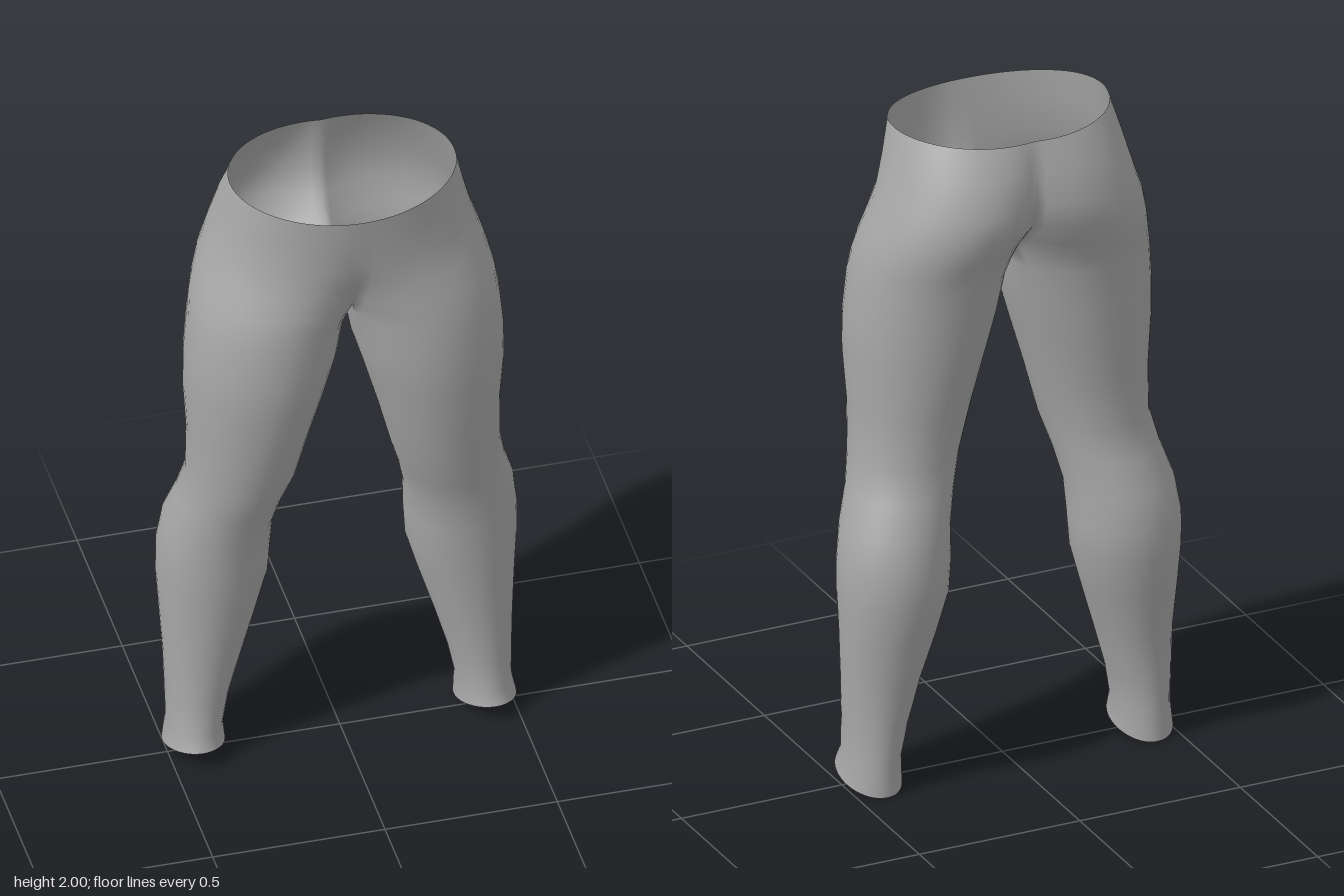
import * as THREE from 'three';
import { mergeVertices } from 'three/addons/utils/BufferGeometryUtils.js';

const CROTCH = 1.6;
const OUTER = 36, INNER = 12; // segments round the outside and along the inseam

// Cross-sections of one side, waist to hem:
// [y, outer x, inner x, x of front peak, x of back peak, front z, back z]
const ROWS = [
  [2.0, 0.325, 0, 0.0, 0.05, 0.268, -0.212],
  [1.9, 0.35, 0, 0.02, 0.1, 0.258, -0.245],
  [1.8, 0.377, 0, 0.06, 0.13, 0.247, -0.265],
  [1.72, 0.405, 0, 0.13, 0.16, 0.245, -0.26],
  [1.65, 0.425, 0, 0.18, 0.195, 0.25, -0.235],
  [CROTCH, 0.437, 0, 0.2, 0.21, 0.254, -0.215],
  [1.54, 0.447, 0.003, 0.22, 0.22, 0.258, -0.2],
  [1.42, 0.458, 0.025, 0.235, 0.235, 0.259, -0.186],
  [1.3, 0.46, 0.06, 0.25, 0.25, 0.248, -0.172],
  [1.15, 0.45, 0.102, 0.27, 0.275, 0.22, -0.152],
  [1.0, 0.452, 0.14, 0.295, 0.295, 0.194, -0.136],
  [0.9, 0.473, 0.17, 0.32, 0.32, 0.16, -0.16],
  [0.8, 0.505, 0.193, 0.345, 0.35, 0.136, -0.19],
  [0.7, 0.519, 0.197, 0.36, 0.36, 0.124, -0.205],
  [0.6, 0.52, 0.203, 0.37, 0.365, 0.115, -0.2],
  [0.48, 0.513, 0.237, 0.38, 0.375, 0.102, -0.177],
  [0.34, 0.505, 0.28, 0.395, 0.39, 0.092, -0.146],
  [0.2, 0.5, 0.32, 0.41, 0.41, 0.086, -0.134],
  [0.1, 0.497, 0.34, 0.42, 0.42, 0.094, -0.13],
  [0.032, 0.51, 0.335, 0.425, 0.42, 0.11, -0.131],
];

// Points of one section: front centre, round the outside to the back, then along the inseam
function section([y, xo, xi, cf, cb, zf, zb]) {
  const cz = (zf + zb) / 2, rz = (zf - zb) / 2;
  const inner = (c) => (y >= CROTCH ? 2 * c - xo : xi);
  const start = (c) => (y >= CROTCH ? Math.acos(Math.min(1, c / (c - inner(c)))) : 0.4);
  const a0 = start(cf), a1 = 2 * Math.PI - start(cb), a2 = 2 * Math.PI + a0;
  const points = [];
  for (let j = 0; j <= OUTER + INNER; j++) {
    const a = j <= OUTER ? a0 + (a1 - a0) * j / OUTER : a1 + (a2 - a1) * (j - OUTER) / INNER;
    const s = Math.sin(a), k = Math.cos(a);
    const c = s > 0 ? cf : cb;
    let x = c - k * (k > 0 ? c - inner(c) : xo - c);
    if (x < 0.001) x = 0;
    const z = cz + rz * s;
    let py = y;
    if (y === 2) py -= (s > 0 ? 0.022 : 0.012) * s * s; // waistline dips at front and back
    if (y < 0.05) py = Math.max(0, y + 0.25 * z);       // hem rises over the foot
    points.push([x, py, z]);
  }
  return points;
}

function leggingsGeometry() {
  const rings = ROWS.map(section);
  const positions = [], index = [];
  const width = OUTER + INNER + 1;
  for (const side of [1, -1]) {
    const base = positions.length / 3;
    for (const ring of rings) for (const [x, y, z] of ring) positions.push(side * x, y, z);
    for (let i = 0; i < rings.length - 1; i++) {
      // above the crotch only the outside exists, so both sides join at the centre
      const columns = ROWS[i][0] > CROTCH ? OUTER : OUTER + INNER;
      for (let j = 0; j < columns; j++) {
        const a = base + i * width + j, b = a + 1, c = a + width, d = c + 1;
        if (side > 0) index.push(a, c, b, b, c, d);
        else index.push(a, b, c, b, d, c);
      }
    }
  }
  let geometry = new THREE.BufferGeometry();
  geometry.setAttribute('position', new THREE.Float32BufferAttribute(positions, 3));
  geometry.setIndex(index);
  geometry = mergeVertices(geometry, 1e-4);
  geometry.computeVertexNormals();
  return geometry;
}

export function createModel() {
  const group = new THREE.Group();
  group.name = 'leggings';
  const fabric = new THREE.MeshStandardMaterial({ color: 0xa8a8a8, side: THREE.DoubleSide });
  fabric.name = 'grey fabric';
  const shell = new THREE.Mesh(leggingsGeometry(), fabric);
  shell.name = 'fabricShell';
  group.add(shell);
  return group;
}
